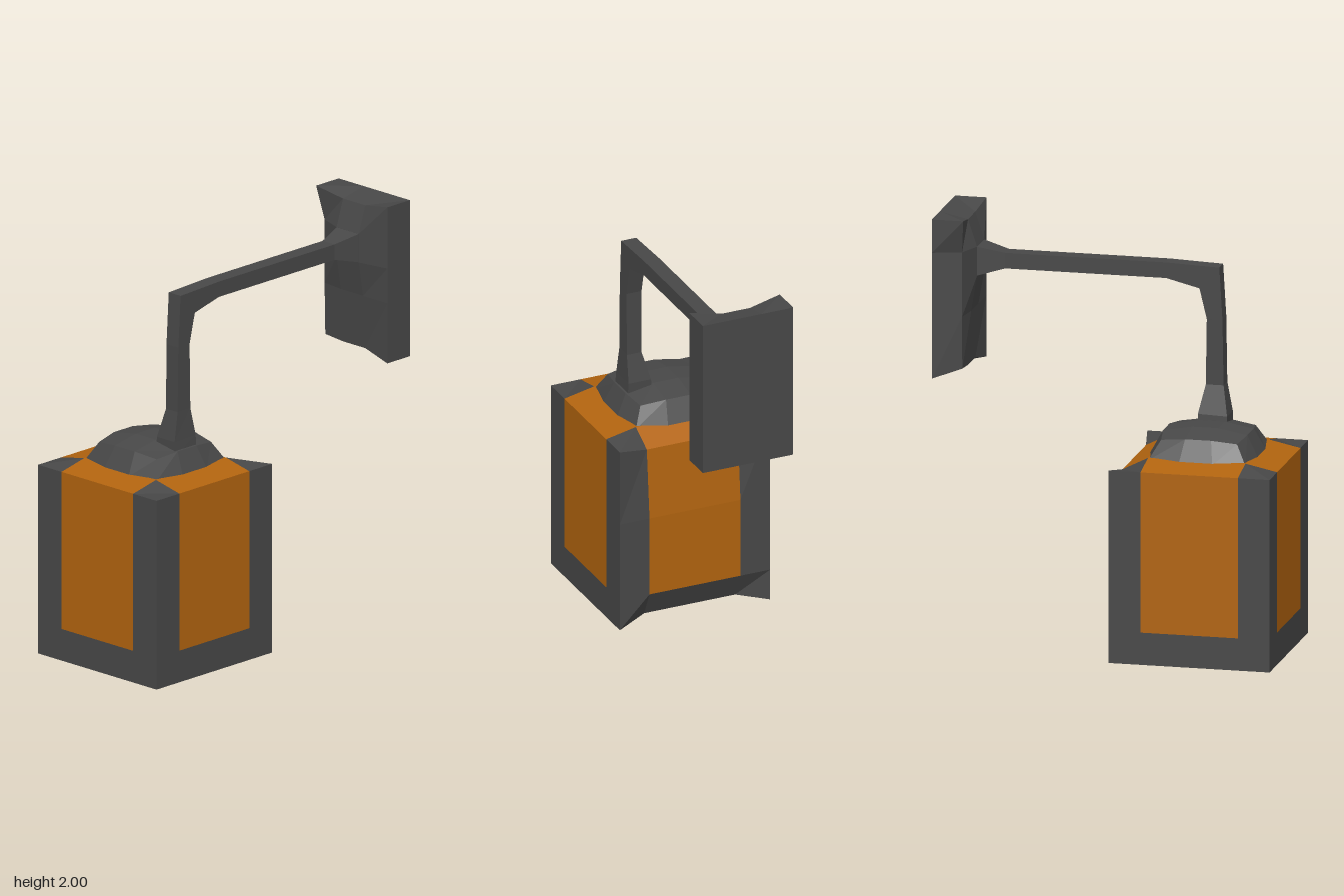
import * as THREE from 'three';

const grey = new THREE.MeshStandardMaterial({ color: 0x484848 });
grey.name = 'dark metal';
const orange = new THREE.MeshStandardMaterial({ color: 0xb2640f });
orange.name = 'amber glass';

// Box whose grid lines sit at the given coordinates; warp(v, i, j, k) moves its vertices.
// isGlass(centre) picks the colour of each facet before warping.
function gridBox(name, xs, ys, zs, warp, isGlass = () => false) {
  const lines = [xs, ys, zs];
  const n = lines.map((l) => l.length - 1);
  const geo = new THREE.BoxGeometry(1, 1, 1, ...n).toNonIndexed();
  const pos = geo.attributes.position;
  const v = new THREE.Vector3(), centre = new THREE.Vector3();
  geo.clearGroups();
  for (let t = 0; t < pos.count; t += 3) {
    centre.set(0, 0, 0);
    for (let c = t; c < t + 3; c++) {
      v.fromBufferAttribute(pos, c);
      const id = v.toArray().map((p, a) => Math.round((p + 0.5) * n[a]));
      v.set(xs[id[0]], ys[id[1]], zs[id[2]]);
      centre.addScaledVector(v, 1 / 3);
      warp(v, ...id);
      pos.setXYZ(c, v.x, v.y, v.z);
    }
    geo.addGroup(t, 3, isGlass(centre) ? 1 : 0);
  }
  geo.computeVertexNormals();
  const mesh = new THREE.Mesh(geo, [grey, orange]);
  mesh.name = name;
  return mesh;
}

// Rectangular tube through sections [outerZ, outerY, innerZ, innerY, x0, x1]
function makeArm(sections) {
  const pts = [];
  const rings = sections.map(([oz, oy, iz, iy, x0, x1]) => [
    [x0, oy, oz], [x1, oy, oz], [x1, iy, iz], [x0, iy, iz],
  ]);
  for (let s = 0; s < rings.length - 1; s++) {
    for (let e = 0; e < 4; e++) {
      const f = (e + 1) % 4;
      const a = rings[s][e], b = rings[s][f], c = rings[s + 1][f], d = rings[s + 1][e];
      pts.push(...a, ...b, ...c, ...a, ...c, ...d);
    }
  }
  const geo = new THREE.BufferGeometry();
  geo.setAttribute('position', new THREE.Float32BufferAttribute(pts, 3));
  geo.computeVertexNormals();
  const mesh = new THREE.Mesh(geo, grey);
  mesh.name = 'arm';
  return mesh;
}

export function createModel() {
  const group = new THREE.Group();
  group.name = 'wallLantern';
  const mid = 0.46; // lantern centre in z
  const inner = (i, max) => i > 0 && i < max;

  // Lantern: grey frame with amber panes on the sides and top
  const cuts = [-0.385, -0.233, 0.233, 0.385];
  group.add(gridBox('lantern', cuts, [0, 0.155, 0.55, 0.925], cuts.map((c) => c + mid),
    (v, i, j, k) => {
      if (j === 3 && inner(i, 3) && inner(k, 3)) v.y = 0.957;
      if (k === 0 && inner(i, 3)) { // worn back edges
        if (j === 3) { v.y = 0.895; v.z += 0.03; }
        if (j === 0) { v.y = 0.03; v.z += 0.06; }
      }
    },
    (c) => c.y > 0.155 && Math.min(Math.abs(c.x), Math.abs(c.z - mid)) < 0.233));

  // Roof cap: bulging square that tapers to a shallow dome
  const capCuts = [-0.233, -0.08, 0.08, 0.233];
  group.add(gridBox('roofCap', capCuts, [0.945, 1.035], capCuts.map((c) => c + mid),
    (v, i, j, k) => {
      v.z -= mid;
      if (inner(k, 3) && !inner(i, 3)) v.x *= 1.11;
      if (inner(i, 3) && !inner(k, 3)) v.z *= 1.11;
      if (j === 1) {
        v.x *= 0.8;
        v.z *= 0.78;
        if (inner(i, 3) || inner(k, 3)) v.y = 1.05;
        if (inner(i, 3) && inner(k, 3)) v.y = 1.075;
      }
      v.z += mid;
    }));

  // Arm: flared foot, upright, elbow, long bar, flared end
  group.add(makeArm([
    [0.53, 1.03, 0.39, 1.03, 0.075, 0.2],
    [0.53, 1.095, 0.39, 1.1, 0.08, 0.195],
    [0.505, 1.235, 0.42, 1.235, 0.115, 0.19],
    [0.5, 1.55, 0.425, 1.55, 0.113, 0.19],
    [0.485, 1.8, 0.39, 1.695, 0.113, 0.19],
    [0.23, 1.81, 0.23, 1.735, 0.113, 0.19],
    [-0.54, 1.81, -0.54, 1.735, 0.113, 0.19],
    [-0.67, 1.84, -0.67, 1.7, 0.08, 0.225],
  ]));

  // Wall plate: flat back, chipped front that swells around the arm
  group.add(gridBox('wallPlate', [-0.08, 0.08, 0.225, 0.383],
    [1.235, 1.53, 1.7, 1.84, 2], [-0.845, -0.695],
    (v, i, j, k) => {
      if (k === 0) return;
      const inX = inner(i, 3), inY = inner(j, 4);
      if (inX && (j === 2 || j === 3)) v.z = -0.667;
      else if (inX && j === 4) { v.y = 1.97; v.z = -0.71; }
      else if (inX && j === 0) { v.y = 1.27; v.z = -0.71; }
      else if (i === 0 && inY) { v.x = -0.04; v.z = -0.71; }
      else if (i === 0 && j === 0) v.set(-0.035, 1.28, -0.71);
    }));

  return group;
}
